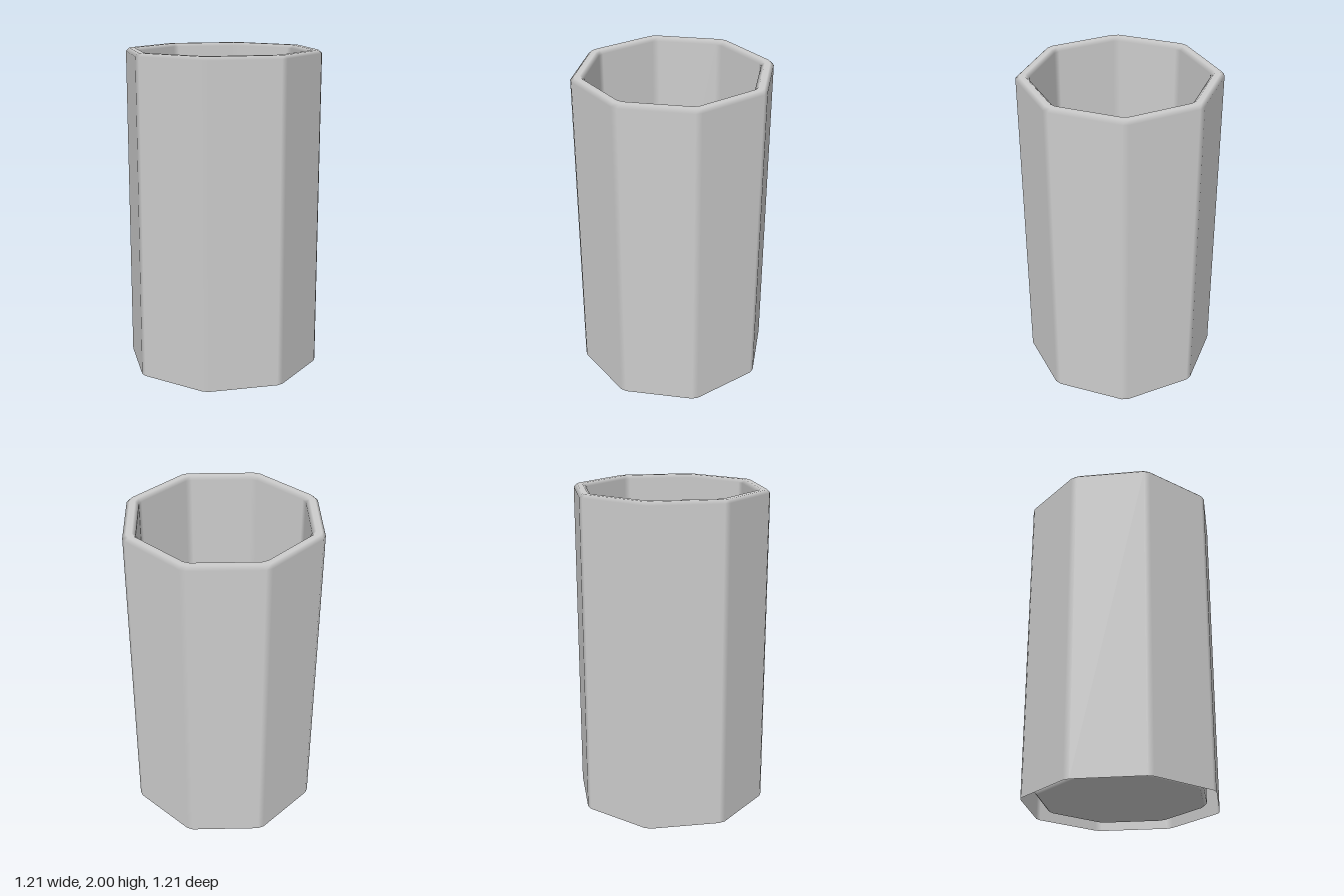
import * as THREE from 'three';

const SIDES = 8;
const CORNER = 0.02; // half width of the small cut on each vertical edge

// Sweeps a profile of [radius, y, normalRadial, normalY] around an octagon with
// cut corners. Broad faces keep flat normals; the narrow cuts blend between them.
function octagonSweep(profile) {
  const positions = [], normals = [], index = [];
  const columns = SIDES * 2;
  for (const [r, y, nr, ny] of profile) {
    const half = Math.min(CORNER, r * 0.1);
    for (let k = 0; k < SIDES; k++) {
      const a = (k / SIDES) * Math.PI * 2;
      for (const side of [-1, 1]) {
        positions.push(
          r * Math.sin(a) + side * half * Math.cos(a), y,
          r * Math.cos(a) - side * half * Math.sin(a));
        const face = a + side * Math.PI / SIDES;
        normals.push(nr * Math.sin(face), ny, nr * Math.cos(face));
      }
    }
  }
  for (let i = 0; i < profile.length - 1; i++) {
    for (let j = 0; j < columns; j++) {
      const next = (j + 1) % columns;
      const a = i * columns + j, b = i * columns + next;
      const c = b + columns, d = a + columns;
      index.push(a, b, c, a, c, d);
    }
  }
  const geometry = new THREE.BufferGeometry();
  geometry.setAttribute('position', new THREE.Float32BufferAttribute(positions, 3));
  geometry.setAttribute('normal', new THREE.Float32BufferAttribute(normals, 3));
  geometry.setIndex(index);
  return geometry;
}

export function createModel() {
  const group = new THREE.Group();
  group.name = 'octagonalCup';
  const grey = new THREE.MeshStandardMaterial({ color: 0xcccccc, side: THREE.DoubleSide });
  grey.name = 'grey';

  const parts = {
    // Outer shell, open underneath
    outerWall: [[0.607, 0, 1, 0], [0.607, 1.98, 1, 0]],
    // Bevelled lip joining the two shells
    rim: [[0.607, 1.98, 1, 0], [0.585, 2, 0, 1], [0.55, 2, 0, 1], [0.527, 1.98, -1, 0]],
    // Inner shell, bevelled into the floor
    innerWall: [[0.527, 1.98, -1, 0], [0.527, 0.05, -1, 0], [0.507, 0.03, 0, 1]],
    floor: [[0.507, 0.03, 0, 1], [0, 0.03, 0, 1]],
  };
  for (const [name, profile] of Object.entries(parts)) {
    const mesh = new THREE.Mesh(octagonSweep(profile), grey);
    mesh.name = name;
    group.add(mesh);
  }
  return group;
}
